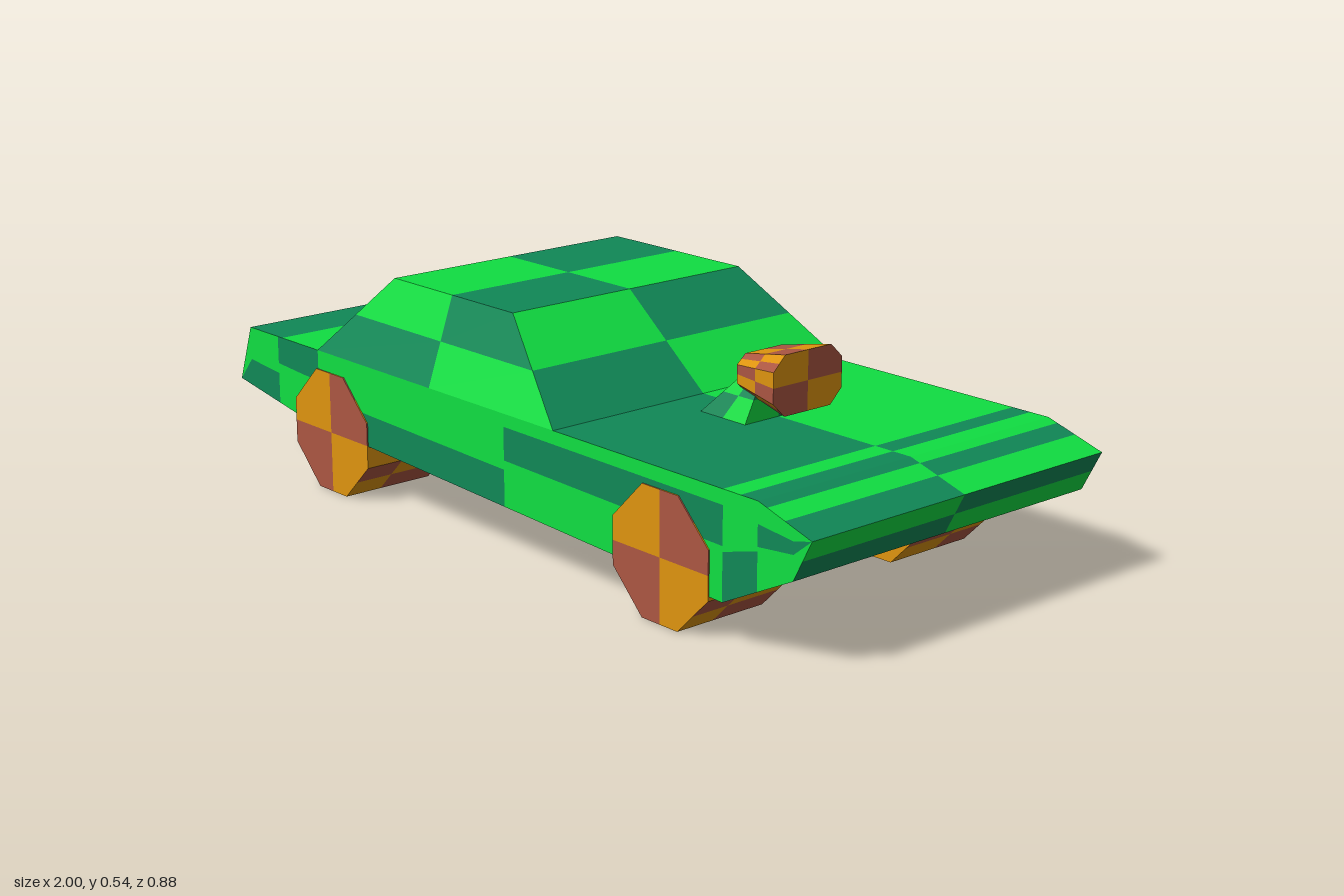
import * as THREE from 'three';

const mat = (name, color) => {
  const m = new THREE.MeshStandardMaterial({ color });
  m.name = name;
  return m;
};
const V = (x, y, z) => new THREE.Vector3(x, y, z);
const mid = (a, b) => a.clone().lerp(b, 0.5);

// Piecewise linear height along x
const heightAt = (pts, x) => {
  for (let i = 1; i < pts.length; i++) {
    const [x0, y0] = pts[i - 1], [x1, y1] = pts[i];
    if (x <= x1) return y0 + (y1 - y0) * (x - x0) / (x1 - x0);
  }
  return pts[pts.length - 1][1];
};

// Turns convex polygons { pts, c } into one flat-faced mesh, all facing away from centre
function shell(name, polys, mats, centre) {
  const geo = new THREE.BufferGeometry(), pos = [];
  mats.forEach((_, m) => {
    const start = pos.length / 3;
    for (const { pts } of polys.filter(p => p.c === m)) {
      const n = V(0, 0, 0), c = V(0, 0, 0);
      pts.forEach((p, i) => {
        n.add(p.clone().cross(pts[(i + 1) % pts.length]));
        c.addScaledVector(p, 1 / pts.length);
      });
      const p = n.dot(c.sub(centre)) < 0 ? [...pts].reverse() : pts;
      for (let i = 1; i < p.length - 1; i++)
        for (const q of [p[0], p[i], p[i + 1]]) pos.push(q.x, q.y, q.z);
    }
    geo.addGroup(start, pos.length / 3 - start, m);
  });
  geo.setAttribute('position', new THREE.Float32BufferAttribute(pos, 3));
  geo.computeVertexNormals();
  const mesh = new THREE.Mesh(geo, mats);
  mesh.name = name;
  return mesh;
}

// Quad a-b-c-d cut into chequered cells at fractions us (a to b) and vs (a to d)
function checker([a, b, c, d], first = 0, us = [0.5], vs = [0.5]) {
  const at = (u, v) => a.clone().lerp(b, u).lerp(d.clone().lerp(c, u), v);
  const U = [0, ...us, 1], W = [0, ...vs, 1], out = [];
  for (let i = 0; i < U.length - 1; i++)
    for (let j = 0; j < W.length - 1; j++)
      out.push({
        pts: [at(U[i], W[j]), at(U[i + 1], W[j]), at(U[i + 1], W[j + 1]), at(U[i], W[j + 1])],
        c: (i + j + first) % 2,
      });
  return out;
}

// Octagon outline with half sizes hu, hv and flat half lengths cu, cv
const octagon = (hu, hv, cu, cv) => [[hu, -cv], [hu, cv], [cu, hv], [-cu, hv],
  [-hu, cv], [-hu, -cv], [-cu, -hv], [cu, -hv]];

// Chequered eight-sided solid between two rings of points
function octagonSolid(name, r0, r1, mats, capFirst, sideFirst, split = 0.5) {
  const polys = [];
  for (let i = 0; i < 8; i++) {
    const j = (i + 1) % 8;
    polys.push(...checker([r0[i], r0[j], r1[j], r1[i]], sideFirst, [0.5], [split]));
  }
  for (const r of [r0, r1]) {
    const centre = mid(r[0], r[4]).lerp(mid(r[2], r[6]), 0.5);
    for (let k = 0; k < 4; k++) {
      const p = i => r[(2 * k + i) % 8];
      polys.push({ pts: [centre, mid(p(0), p(1)), p(1), p(2), mid(p(2), p(3))], c: (k + capFirst) % 2 });
    }
  }
  return shell(name, polys, mats, mid(mid(r0[0], r0[4]), mid(r1[0], r1[4])));
}

// Rectangle corners at height y: rear right, rear left, front left, front right
const rect = (x0, x1, y, z) => [V(x0, y, -z), V(x0, y, z), V(x1, y, z), V(x1, y, -z)];

export function createModel() {
  const paint = [mat('bright green', 0x10de42), mat('teal green', 0x108856)];
  const rubber = [mat('amber', 0xde940f), mat('rust', 0xab5642)];
  const car = new THREE.Group();
  car.name = 'car';
  const W = 0.436;

  // Body: cross strips over the top, nose, underside and tail
  const upper = [[-1, 0.2], [-0.95, 0.34], [0.85, 0.34], [1, 0.295]];
  const lower = [[-1, 0.2], [-0.72, 0.155], [0.75, 0.1], [0.95, 0.2], [1, 0.295]];
  const body = [];
  const strip = (x0, y0, x1, y1, first, cuts = []) =>
    body.push(...checker([V(x0, y0, -W), V(x1, y1, -W), V(x1, y1, W), V(x0, y0, W)], first, cuts));
  strip(-1, 0.2, -0.95, 0.34, 0, [0.5]);
  strip(-0.95, 0.34, -0.66, 0.34, 0, [0.48]);
  strip(-0.66, 0.34, 0.22, 0.34, 0);
  strip(0.22, 0.34, 0.85, 0.34, 0, [0.84, 0.92]);
  strip(0.85, 0.34, 1, 0.295, 0, [0.17, 0.5]);
  strip(1, 0.295, 0.95, 0.2, 1, [0.5]);
  strip(0.95, 0.2, 0.75, 0.1, 1, [0.5]);
  strip(0.75, 0.1, -0.72, 0.155, 1, [0.48]);
  strip(-0.72, 0.155, -1, 0.2, 0);

  // Body sides: columns of cells between the lower and upper outline
  const columns = [
    [-1, -0.95, 0, [0.55]], [-0.95, -0.83, 0, [0.55]], [-0.83, -0.72, 1, [0.4]],
    [-0.72, -0.66, 1, [0.4]], [-0.66, 0.05, 0, [0.6]], [0.05, 0.75, 0, [0.14, 0.5]],
    [0.75, 0.85, 0, [0.55]], [0.85, 0.95, 0, [0.25, 0.5]], [0.95, 1, 0, [0.25, 0.5]],
  ];
  for (const z of [-W, W])
    for (const [x0, x1, first, cuts] of columns)
      body.push(...checker([
        V(x0, heightAt(upper, x0), z), V(x1, heightAt(upper, x1), z),
        V(x1, heightAt(lower, x1), z), V(x0, heightAt(lower, x0), z),
      ], first, [], cuts));
  car.add(shell('body', body, paint, V(0, 0.22, 0)));

  // Cabin: tapered block with chequered windows and roof
  const b = rect(-0.66, 0.22, 0.34, W), t = rect(-0.47, -0.03, 0.535, 0.342);
  const cabin = [
    ...checker([b[0], b[1], t[1], t[0]], 0),
    ...checker([b[1], b[2], t[2], t[1]], 1),
    ...checker([b[2], b[3], t[3], t[2]], 1),
    ...checker([b[3], b[0], t[0], t[3]], 1),
    ...checker(t, 1),
  ];
  car.add(shell('cabin', cabin, paint, V(-0.22, 0.4, 0)));

  // Bonnet intake: tapered stand and flared octagonal scoop
  const sb = rect(0.32, 0.46, 0.34, 0.1), st = rect(0.41, 0.46, 0.44, 0.05);
  const stand = checker(st);
  for (let i = 0; i < 4; i++) {
    const j = (i + 1) % 4;
    stand.push(...checker([sb[i], sb[j], st[j], st[i]], i % 2));
  }
  car.add(shell('scoopStand', stand, paint, V(0.42, 0.38, 0)));
  const scoopRing = (x, ...sizes) => octagon(...sizes).map(([z, y]) => V(x, 0.44 + y, z));
  car.add(octagonSolid('scoop', scoopRing(0.412, 0.08, 0.042, 0.055, 0.021),
    scoopRing(0.548, 0.103, 0.068, 0.069, 0.035), rubber, 0, 0));

  // Wheels: octagonal blocks just proud of the body sides
  for (const x of [-0.61, 0.565])
    for (const side of [-1, 1]) {
      const ring = z => octagon(0.147, 0.147, 0.055, 0.055).map(([u, v]) => V(x + u, 0.147 + v, z));
      const [z0, z1] = side > 0 ? [0.197, 0.439] : [-0.439, -0.197];
      car.add(octagonSolid((x < 0 ? 'rear' : 'front') + (side > 0 ? 'NearWheel' : 'FarWheel'),
        ring(z0), ring(z1), rubber, 1, 1, side > 0 ? 0.59 : 0.41));
    }
  return car;
}
